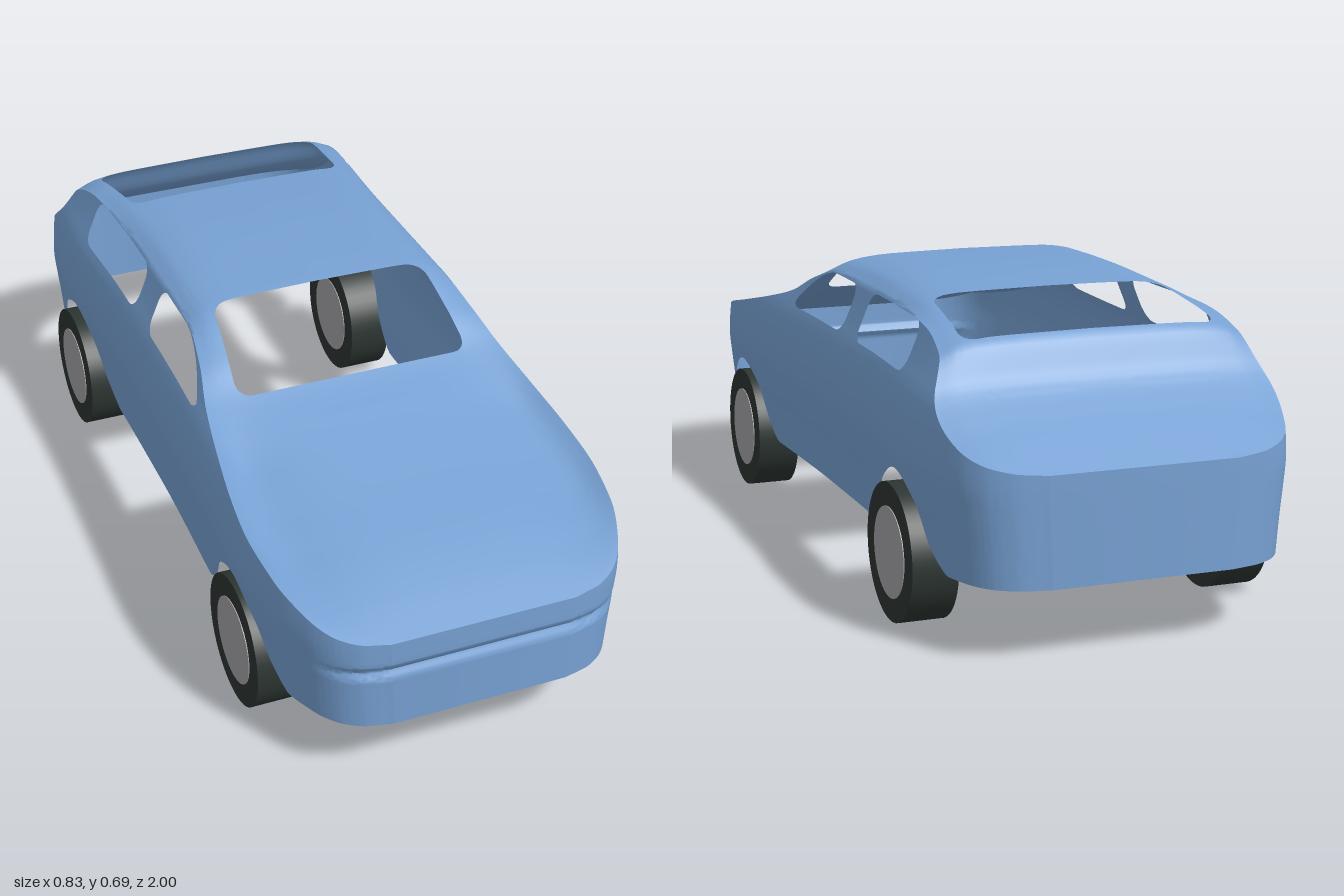
import * as THREE from 'three';
import { toCreasedNormals } from 'three/addons/utils/BufferGeometryUtils.js';

const paint = new THREE.MeshStandardMaterial({ color: 0x77a1d3, side: THREE.DoubleSide });
paint.name = 'blue paint';
const rubber = new THREE.MeshStandardMaterial({ color: 0x2c3532 });
rubber.name = 'dark rubber';
const metal = new THREE.MeshStandardMaterial({ color: 0xa2a3a8 });
metal.name = 'grey metal';

// Smooth monotone curve through [position, value] pairs in ascending order
function curve(pts) {
  const d = pts.slice(1).map((p, i) => (p[1] - pts[i][1]) / (p[0] - pts[i][0]));
  const m = pts.map((_, i) => {
    if (i === 0) return d[0];
    if (i === d.length) return d[i - 1];
    return d[i - 1] * d[i] <= 0 ? 0 : (2 * d[i - 1] * d[i]) / (d[i - 1] + d[i]);
  });
  return (x) => {
    x = Math.min(Math.max(x, pts[0][0]), pts[pts.length - 1][0]);
    let i = 0;
    while (i < d.length - 1 && x > pts[i + 1][0]) i++;
    const h = pts[i + 1][0] - pts[i][0];
    const t = (x - pts[i][0]) / h;
    const a = (1 + 2 * t) * (1 - t) ** 2, b = t * t * (3 - 2 * t);
    return a * pts[i][1] + b * pts[i + 1][1] + h * (t * (1 - t) ** 2 * m[i] - t * t * (1 - t) * m[i + 1]);
  };
}

// Body guides along z: plan half width, top edge of the side, centre line, lower edge
const width = curve([[-1, 0.21], [-0.985, 0.28], [-0.95, 0.336], [-0.9, 0.368], [-0.8, 0.395], [-0.65, 0.402],
  [-0.3, 0.39], [0, 0.392], [0.4, 0.406], [0.65, 0.415], [0.8, 0.398], [0.9, 0.362], [0.95, 0.328], [0.985, 0.275], [1, 0.21]]);
const edge = curve([[-1, 0.4], [-0.9, 0.44], [-0.84, 0.475], [-0.78, 0.525], [-0.725, 0.6], [-0.6, 0.636], [-0.46, 0.644],
  [-0.2, 0.648], [0.06, 0.646], [0.2, 0.61], [0.3, 0.565], [0.4, 0.537], [0.6, 0.492], [0.8, 0.45], [0.9, 0.418], [1, 0.378]]);
const crown = curve([[-1, 0.4], [-0.92, 0.447], [-0.85, 0.488], [-0.78, 0.54], [-0.725, 0.63], [-0.6, 0.658], [-0.46, 0.68],
  [-0.2, 0.692], [0.06, 0.684], [0.2, 0.625], [0.3, 0.565], [0.4, 0.535], [0.6, 0.485], [0.8, 0.443], [0.9, 0.414], [1, 0.378]]);
const sill = curve([[-0.84, 0.163], [-0.77, 0.21], [-0.71, 0.29], [-0.6, 0.335], [-0.49, 0.29], [-0.42, 0.21], [-0.33, 0.163],
  [0.37, 0.163], [0.44, 0.21], [0.5, 0.29], [0.61, 0.335], [0.71, 0.29], [0.77, 0.21], [0.83, 0.163]]);
// Width factor of the side by height, leaning in above the belt
const flank = curve([[0.163, 0.95], [0.25, 0.97], [0.31, 0.987], [0.37, 1], [0.45, 0.985], [0.5, 0.962],
  [0.53, 0.935], [0.56, 0.9], [0.6, 0.857], [0.648, 0.81]]);
// Roof and hood, edge to centre: width and height factors
const upperX = curve([[0, 1], [0.3, 0.86], [0.6, 0.62], [1, 0]]);
const upperY = curve([[0, 0], [0.3, 0.62], [0.6, 0.92], [1, 1]]);

const SIDE = 40, TOP = 24, STATIONS = 200;
const { smoothstep, lerp } = THREE.MathUtils;

// One full cross-section, from the left sill over the top to the right sill
function section(z) {
  const w = width(z), e = edge(z), low = sill(z), half = [];
  for (let i = 0; i < SIDE; i++) {
    const y = lerp(low, e, i / SIDE);
    // Slot in the nose above the bumper
    const slot = 0.012 * smoothstep(z, 0.9, 1) * Math.max(0, 1 - Math.abs(y - 0.302) / 0.018);
    half.push(new THREE.Vector3(w * flank(y), y, z - slot));
  }
  // Hood is dished inside its rim
  const dish = 0.02 * smoothstep(z, 0.27, 0.5) * (1 - smoothstep(z, 0.72, 0.98));
  for (let i = 0; i <= TOP; i++) {
    const x = upperX(i / TOP);
    const y = e + (crown(z) - e) * upperY(i / TOP) - dish * Math.sin(Math.PI * x ** 4);
    half.push(new THREE.Vector3(w * flank(e) * x, y, z));
  }
  const right = half.slice(0, -1).reverse().map((p) => new THREE.Vector3(-p.x, p.y, p.z));
  return [...half, ...right];
}

// Signed distance to a rounded rectangle, negative inside
function roundRect(u, v, u0, u1, v0, v1, r) {
  const a = Math.abs(u - (u0 + u1) / 2) - (u1 - u0) / 2 + r;
  const b = Math.abs(v - (v0 + v1) / 2) - (v1 - v0) / 2 + r;
  return Math.hypot(Math.max(a, 0), Math.max(b, 0)) + Math.min(Math.max(a, b), 0) - r;
}

// Negative inside any window opening
function opening(p) {
  if (p.y < 0.5) return 1;
  const x = Math.abs(p.x);
  const shield = roundRect(x - 0.1 * (p.z - 0.18), p.z, -0.27, 0.27, 0.065, 0.297, 0.035);
  const rear = roundRect(x + 0.08 * (p.z + 0.59), p.z, -0.28, 0.28, -0.72, -0.465, 0.035);
  let front = roundRect(p.z, p.y, -0.105, 0.265, 0.533, 0.642, 0.035);
  // Sloping leading corner of the front door glass
  front = Math.max(front, (p.y - 0.642 + 2.2 * Math.max(p.z - 0.05, 0) ** 2) * 0.8);
  const back = roundRect(p.z, p.y, -0.575, -0.208, 0.533, 0.642, 0.035);
  const sides = x > 0.3 ? Math.min(front, back) : 1;
  return Math.min(shield, rear, sides);
}

function bodyGeometry() {
  const out = [];
  // Keep only the part of a triangle outside the openings
  const add = (...tri) => {
    const f = tri.map(opening), poly = [];
    tri.forEach((p, i) => {
      const k = (i + 1) % 3;
      if (f[i] >= 0) poly.push(p);
      if (f[i] * f[k] < 0) poly.push(p.clone().lerp(tri[k], f[i] / (f[i] - f[k])));
    });
    for (let i = 2; i < poly.length; i++) {
      for (const p of [poly[0], poly[i - 1], poly[i]]) out.push(p.x, p.y, p.z);
    }
  };
  const rows = [];
  for (let i = 0; i <= STATIONS; i++) rows.push(section(Math.sin((i / STATIONS - 0.5) * Math.PI)));
  for (let i = 0; i < STATIONS; i++) {
    const a = rows[i], b = rows[i + 1];
    for (let j = 0; j < a.length - 1; j++) {
      add(a[j], a[j + 1], b[j]);
      add(a[j + 1], b[j + 1], b[j]);
    }
  }
  // Nose and tail panels
  const tail = rows[0], nose = rows[STATIONS], n = nose.length - 1;
  for (let j = 0; j < SIDE; j++) {
    add(nose[j], nose[j + 1], nose[n - j - 1]);
    add(nose[j], nose[n - j - 1], nose[n - j]);
    add(tail[j], tail[n - j - 1], tail[j + 1]);
    add(tail[j], tail[n - j], tail[n - j - 1]);
  }
  const geo = new THREE.BufferGeometry();
  geo.setAttribute('position', new THREE.Float32BufferAttribute(out, 3));
  return toCreasedNormals(geo, 0.8);
}

function wheel(x, z, name) {
  const g = new THREE.Group();
  g.name = name;
  const tyre = new THREE.Mesh(new THREE.CylinderGeometry(0.152, 0.152, 0.103, 48), rubber);
  tyre.name = 'tyre';
  const hub = new THREE.Mesh(new THREE.CylinderGeometry(0.1, 0.1, 0.107, 40), metal);
  hub.name = 'hub';
  g.add(tyre, hub);
  g.rotation.z = Math.PI / 2;
  g.position.set(x, 0.152, z);
  return g;
}

export function createModel() {
  const car = new THREE.Group();
  car.name = 'car';
  const body = new THREE.Mesh(bodyGeometry(), paint);
  body.name = 'bodyShell';
  car.add(body);
  for (const s of [1, -1]) {
    const label = s > 0 ? 'Left' : 'Right';
    car.add(wheel(s * 0.362, 0.607, `front${label}Wheel`), wheel(s * 0.362, -0.603, `rear${label}Wheel`));
  }
  return car;
}
